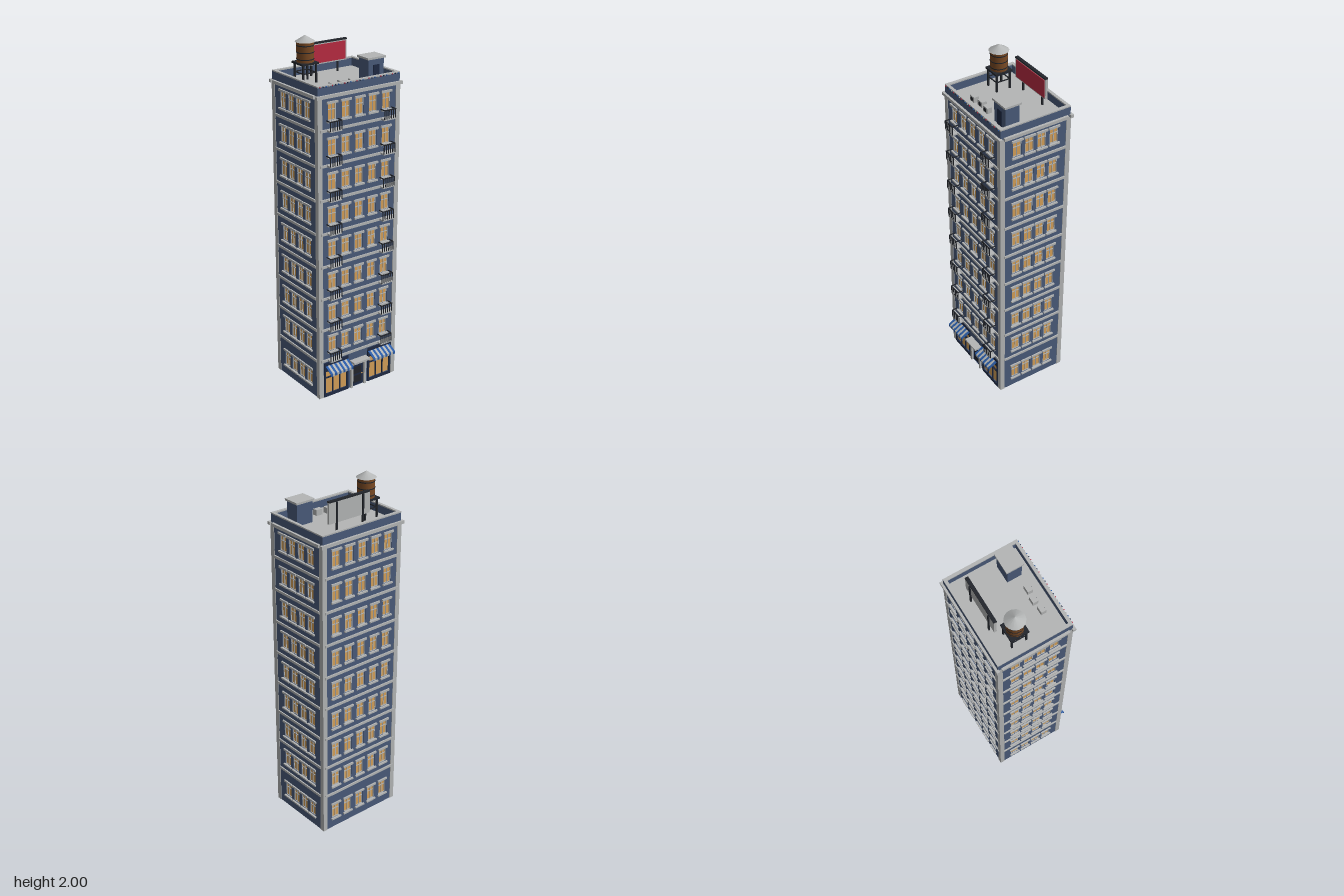
import * as THREE from 'three';

const M = (name, color, extra = {}) => Object.assign(new THREE.MeshStandardMaterial({ color, ...extra }), { name });

export function createModel() {
  const wallMat = M('slate blue wall', 0x4a5b7a);
  const stone = M('pale stone', 0xb4b6b6);
  const glow = M('lit glass', 0xd6a159);
  const iron = M('black iron', 0x23262c);
  const navy = M('dark navy', 0x1f2a44);
  const blue = M('awning blue', 0x2a5ba6);
  const red = M('red', 0xb92c42);
  const wood = M('brown wood', 0x7a4a24);

  const model = new THREE.Group();
  model.name = 'apartmentTower';
  const HX = 0.262, HZ = 0.21, ZC = -0.024, T = 0.012;
  const GROUND = 0.225, FLOOR = 0.19, ROOF = 1.745;
  const front = ZC + HZ;

  const group = (name, parent = model) => {
    const g = new THREE.Group();
    g.name = name;
    parent.add(g);
    return g;
  };
  const mesh = (parent, name, geo, mat, x = 0, y = 0, z = 0) => {
    const m = new THREE.Mesh(geo, mat);
    m.name = name;
    m.position.set(x, y, z);
    parent.add(m);
    return m;
  };
  // box given by its limits
  const box = (parent, name, mat, x0, x1, y0, y1, z0, z1) =>
    mesh(parent, name, new THREE.BoxGeometry(x1 - x0, y1 - y0, z1 - z0), mat, (x0 + x1) / 2, (y0 + y1) / 2, (z0 + z1) / 2);
  // flat panel with rectangular holes [x0, x1, y0, y1]; its face is at z = 0
  const panel = (x0, x1, y0, y1, holes, depth) => {
    const rect = (P, a, b, c, d) => {
      const p = new P();
      p.moveTo(a, c); p.lineTo(b, c); p.lineTo(b, d); p.lineTo(a, d); p.closePath();
      return p;
    };
    const s = rect(THREE.Shape, x0, x1, y0, y1);
    s.holes = holes.map(h => rect(THREE.Path, ...h));
    return new THREE.ExtrudeGeometry(s, { depth, bevelEnabled: false }).translate(0, 0, -depth);
  };

  // ---- windows: shared geometry, origin at bottom centre of the opening
  const WW = 0.052, WH = 0.09;
  const sashGeo = panel(-WW / 2, WW / 2, 0, WH, [
    [-0.022, -0.002, 0.004, 0.056], [0.002, 0.022, 0.004, 0.056],
    [-0.022, -0.002, 0.06, 0.086], [0.002, 0.022, 0.06, 0.086]], 0.004);
  const paneGeo = new THREE.BoxGeometry(WW, WH, 0.003);
  const lintelGeo = new THREE.BoxGeometry(0.068, 0.012, 0.014);
  const sillGeo = new THREE.BoxGeometry(0.066, 0.009, 0.016);
  const addWindow = (parent, x, y, z) => {
    const w = group('window', parent);
    w.position.set(x, y, z);
    mesh(w, 'windowPane', paneGeo, glow, 0, WH / 2, -0.0095);
    mesh(w, 'windowSash', sashGeo, stone, 0, 0, -0.003);
    mesh(w, 'windowLintel', lintelGeo, stone, 0, WH + 0.006, 0.001);
    mesh(w, 'windowSill', sillGeo, stone, 0, -0.0045, 0.002);
  };

  // ---- four facades, each built facing +z
  const SHOP = [0.077, 0.225, 0.018, 0.16], DOOR = [-0.038, 0.038, 0, 0.165];
  const shopHoles = [SHOP, [-SHOP[1], -SHOP[0], SHOP[2], SHOP[3]], DOOR];
  const facade = (name, half, dist, angle, count, step, isFront) => {
    const g = group(name);
    g.position.z = ZC;
    g.rotation.y = angle;
    for (let f = 0; f < 9; f++) {
      const y0 = f ? GROUND + (f - 1) * FLOOR : 0, y1 = GROUND + f * FLOOR;
      const wy = y0 + (f ? 0.056 : 0.062), shop = isFront && f === 0;
      const xs = Array.from({ length: count }, (_, i) => (i - (count - 1) / 2) * step);
      const holes = shop ? shopHoles : xs.map(x => [x - WW / 2, x + WW / 2, wy, wy + WH]);
      mesh(g, 'wall', panel(-half, half, y0, y1, holes, T), wallMat, 0, 0, dist);
      if (!shop) xs.forEach(x => addWindow(g, x, wy, dist));
      if (f) box(g, 'floorBand', stone, -half + 0.012, half - 0.012, y0, y0 + 0.014, dist - 0.002, dist + 0.007);
    }
  };
  facade('frontFacade', HX, HZ, 0, 5, 0.0873, true);
  facade('backFacade', HX, HZ, Math.PI, 5, 0.0873, false);
  facade('leftFacade', HZ - T, HX, Math.PI / 2, 4, 0.074, false);
  facade('rightFacade', HZ - T, HX, -Math.PI / 2, 4, 0.074, false);

  // ---- corner pilasters (thin L-shaped stone strips)
  for (const sx of [-1, 1]) for (const sz of [-1, 1]) {
    const p = group('cornerPilaster');
    p.position.set(sx * (HX + 0.003), 0, ZC + sz * (HZ + 0.003));
    mesh(p, 'pilasterFace', new THREE.BoxGeometry(0.028, ROOF - 0.01, 0.008), stone, -sx * 0.014, (ROOF - 0.01) / 2, -sz * 0.004);
    mesh(p, 'pilasterSide', new THREE.BoxGeometry(0.008, ROOF - 0.01, 0.028), stone, -sx * 0.004, (ROOF - 0.01) / 2, -sz * 0.014);
  }

  // ---- cornice, roof deck, parapet and coping
  for (const s of [-1, 1]) {
    mesh(model, 'cornice', new THREE.BoxGeometry(0.552, 0.017, 0.018), stone, 0, 1.741, ZC + s * 0.2135);
    mesh(model, 'sideCornice', new THREE.BoxGeometry(0.018, 0.017, 0.382), stone, s * 0.267, 1.741, ZC);
  }
  box(model, 'roofDeck', stone, -0.255, 0.255, 1.738, 1.75, ZC - 0.203, ZC + 0.203);
  const ring = (name, mat, y, h) => {
    const geo = panel(-0.2625, 0.2625, -HZ, HZ, [[-0.245, 0.245, -0.193, 0.193]], h);
    mesh(model, name, geo.rotateX(-Math.PI / 2), mat, 0, y + h, ZC);
  };
  ring('parapet', wallMat, 1.745, 0.047);
  ring('coping', stone, 1.792, 0.007);

  // ---- string of party bulbs along the front parapet
  const bulbGeo = new THREE.SphereGeometry(0.004, 8, 6);
  for (let i = 0; i < 27; i++)
    mesh(model, 'bulb', bulbGeo, [red, navy, blue, stone][i % 4], (i - 13) * 0.0192, 1.793, front + 0.002);

  // ---- balconies on the outer window columns
  for (let f = 0; f < 8; f++) for (const s of [-1, 1]) {
    const b = group('balcony');
    b.position.set(s * 0.174, GROUND + f * FLOOR, front);
    box(b, 'balconySlab', stone, -0.037, 0.037, 0.003, 0.012, 0, 0.037);
    box(b, 'frontRail', iron, -0.038, 0.038, 0.057, 0.062, 0.034, 0.039);
    for (const e of [-1, 1])
      mesh(b, 'sideRail', new THREE.BoxGeometry(0.004, 0.005, 0.037), iron, e * 0.036, 0.0595, 0.0185);
    for (let i = 0; i < 6; i++)
      mesh(b, 'baluster', new THREE.BoxGeometry(0.004, 0.05, 0.004), iron, (i - 2.5) * 0.0144, 0.035, 0.0365);
  }

  // ---- shopfronts with striped awnings
  for (const s of [-1, 1]) {
    const g = group('shopfront');
    g.position.set(s * 0.151, 0, front);
    mesh(g, 'shopFrame', panel(-0.083, 0.083, 0, 0.165,
      [-1, 0, 1].flatMap(i => [[i * 0.049 - 0.022, i * 0.049 + 0.022, 0.018, 0.118],
        [i * 0.049 - 0.022, i * 0.049 + 0.022, 0.124, 0.16]]), 0.008), navy, 0, 0, 0.005);
    box(g, 'shopGlass', glow, -0.074, 0.074, 0.018, 0.16, -0.011, -0.005);
    box(g, 'shopFascia', navy, -0.083, 0.083, 0.165, 0.216, -0.002, 0.006);
    // awning cross-section (z, y) extruded per stripe
    const pts = [[0, 0.2], [0.057, 0.17], [0.057, 0.154], [0.054, 0.154], [0.054, 0.167], [0, 0.195]];
    const sw = 0.155 / 11;
    const stripe = new THREE.ExtrudeGeometry(new THREE.Shape(pts.map(p => new THREE.Vector2(...p))),
      { depth: sw, bevelEnabled: false }).rotateY(-Math.PI / 2);
    for (let i = 0; i < 11; i++)
      mesh(g, 'awningStripe', stripe, i % 2 ? stone : blue, -s * 0.003 - 0.0775 + (i + 1) * sw, 0, 0);
  }

  // ---- entrance
  const door = group('entrance');
  door.position.z = front;
  for (const s of [-1, 1])
    mesh(door, 'doorJamb', new THREE.BoxGeometry(0.014, 0.17, 0.018), stone, s * 0.046, 0.085, 0.003);
  box(door, 'doorCanopy', stone, -0.055, 0.055, 0.166, 0.177, -0.004, 0.046);
  box(door, 'transomGlass', glow, -0.038, 0.038, 0.132, 0.154, -0.01, -0.005);
  box(door, 'doorHead', navy, -0.038, 0.038, 0.154, 0.166, -0.011, 0.002);
  box(door, 'doorLeaf', navy, -0.038, 0.038, 0, 0.132, -0.011, -0.003);
  for (const y of [0.018, 0.075])
    box(door, 'doorPanel', iron, -0.026, 0.026, y, y + 0.045, -0.004, -0.001);
  mesh(door, 'doorKnob', new THREE.SphereGeometry(0.004, 8, 6), glow, 0.03, 0.068, 0);

  // ---- stair house on the roof
  const hut = group('stairHouse');
  box(hut, 'hutWalls', wallMat, 0.105, 0.206, 1.75, 1.869, 0.038, 0.12);
  box(hut, 'hutRoof', stone, 0.097, 0.214, 1.869, 1.88, 0.03, 0.128);
  box(hut, 'hutDoor', navy, 0.135, 0.175, 1.75, 1.838, 0.119, 0.123);

  // ---- air conditioners
  [[-0.108, 0.104], [-0.046, 0.096], [0.017, 0.104]].forEach(([x, z]) => {
    const ac = group('airConditioner');
    ac.position.set(x, 1.75, z);
    box(ac, 'acCase', stone, -0.0205, 0.0205, 0, 0.032, -0.0145, 0.0145);
    mesh(ac, 'acFan', new THREE.CylinderGeometry(0.011, 0.011, 0.003, 12).rotateX(Math.PI / 2), iron, 0, 0.016, 0.015);
  });

  // ---- water tower
  const tower = group('waterTower');
  tower.position.set(-0.157, 0, -0.077);
  for (const sx of [-1, 1]) for (const sz of [-1, 1])
    mesh(tower, 'towerLeg', new THREE.BoxGeometry(0.009, 0.105, 0.009), iron, sx * 0.04, 1.8, sz * 0.04);
  for (const s of [-1, 1]) {
    mesh(tower, 'legBrace', new THREE.BoxGeometry(0.08, 0.005, 0.005), iron, 0, 1.805, s * 0.04);
    mesh(tower, 'legBrace', new THREE.BoxGeometry(0.005, 0.005, 0.08), iron, s * 0.04, 1.805, 0);
  }
  box(tower, 'towerPlatform', iron, -0.051, 0.051, 1.85, 1.86, -0.051, 0.051);
  mesh(tower, 'tank', new THREE.CylinderGeometry(0.046, 0.046, 0.108, 14), wood, 0, 1.914, 0);
  for (const y of [1.876, 1.912, 1.948])
    mesh(tower, 'tankHoop', new THREE.CylinderGeometry(0.0475, 0.0475, 0.005, 14), iron, 0, y, 0);
  mesh(tower, 'tankRoof', new THREE.ConeGeometry(0.054, 0.034, 14), stone, 0, 1.983, 0);

  // ---- billboard
  const sign = group('billboard');
  box(sign, 'boardBack', stone, -0.109, 0.16, 1.81, 1.925, -0.162, -0.148);
  box(sign, 'boardFace', red, -0.101, 0.152, 1.817, 1.916, -0.15, -0.145);
  box(sign, 'boardTop', iron, -0.109, 0.16, 1.922, 1.93, -0.163, -0.145);
  for (const x of [-0.061, 0.112])
    box(sign, 'boardPost', iron, x - 0.005, x + 0.005, 1.75, 1.922, -0.168, -0.16);

  return model;
}
